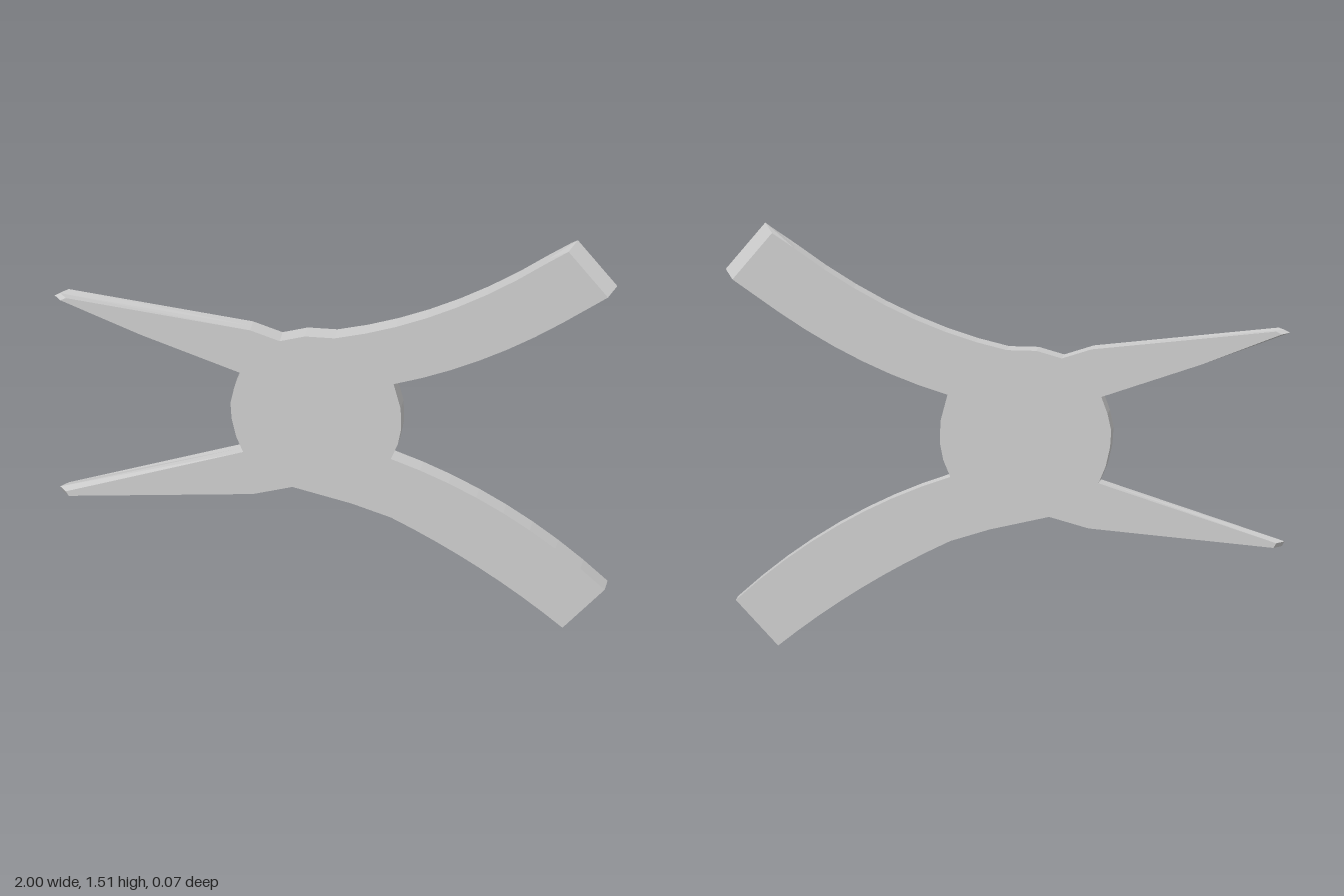
import * as THREE from 'three';

const THICKNESS = 0.072;

export function createModel() {
  const group = new THREE.Group();
  const shape = new THREE.Shape();
  const lines = (...pts) => pts.forEach(([x, y]) => shape.lineTo(x, y));

  // Hub, right edge between the two broad arms
  shape.moveTo(0.2, 0.62);
  lines([0.225, 0.68], [0.237, 0.74], [0.235, 0.82], [0.21, 0.915]);
  // Upper broad arm, curving up to a blunt end
  shape.quadraticCurveTo(0.62, 1.03, 1, 1.34);
  lines([0.86, 1.51]);
  shape.quadraticCurveTo(0.44, 1.17, 0, 1.08);
  // Notch and upper tapered spike
  lines([-0.105, 1.08], [-0.195, 1.055], [-0.3, 1.09], [-0.98, 1.17], [-1, 1.16], [-0.69, 1.045], [-0.335, 0.92]);
  // Hub, left edge
  lines([-0.357, 0.86], [-0.37, 0.8], [-0.366, 0.74], [-0.35, 0.67], [-0.325, 0.61]);
  // Lower tapered spike
  lines([-0.98, 0.41], [-0.97, 0.393], [-0.29, 0.447], [-0.15, 0.485]);
  // Lower broad arm, curving down to a square end
  lines([0.06, 0.435], [0.2, 0.39]);
  shape.quadraticCurveTo(0.53, 0.23, 0.81, 0);
  lines([0.96, 0.16]);
  shape.quadraticCurveTo(0.62, 0.48, 0.2, 0.62);

  const geometry = new THREE.ExtrudeGeometry(shape, {
    depth: THICKNESS, steps: 2, bevelEnabled: false, curveSegments: 8,
  });
  geometry.translate(0, 0, -THICKNESS / 2);

  // Draw the face corners back so the spike tips and upper arm end in a ridge
  const p = geometry.attributes.position;
  for (let i = 0; i < p.count; i++) {
    const x = p.getX(i), y = p.getY(i);
    if (Math.abs(p.getZ(i)) < 0.01) continue;
    if (x < -0.95) p.setX(i, x + 0.025);
    const upperEnd = (x > 0.995 && y > 1.3) || y > 1.505;
    if (upperEnd) p.setXY(i, x - 0.028, y - 0.03);
  }
  geometry.computeVertexNormals();

  const plate = new THREE.Mesh(
    geometry,
    new THREE.MeshStandardMaterial({ color: 0xcccccc, flatShading: true }),
  );
  plate.name = 'fourArmedPlate';
  group.add(plate);
  return group;
}
